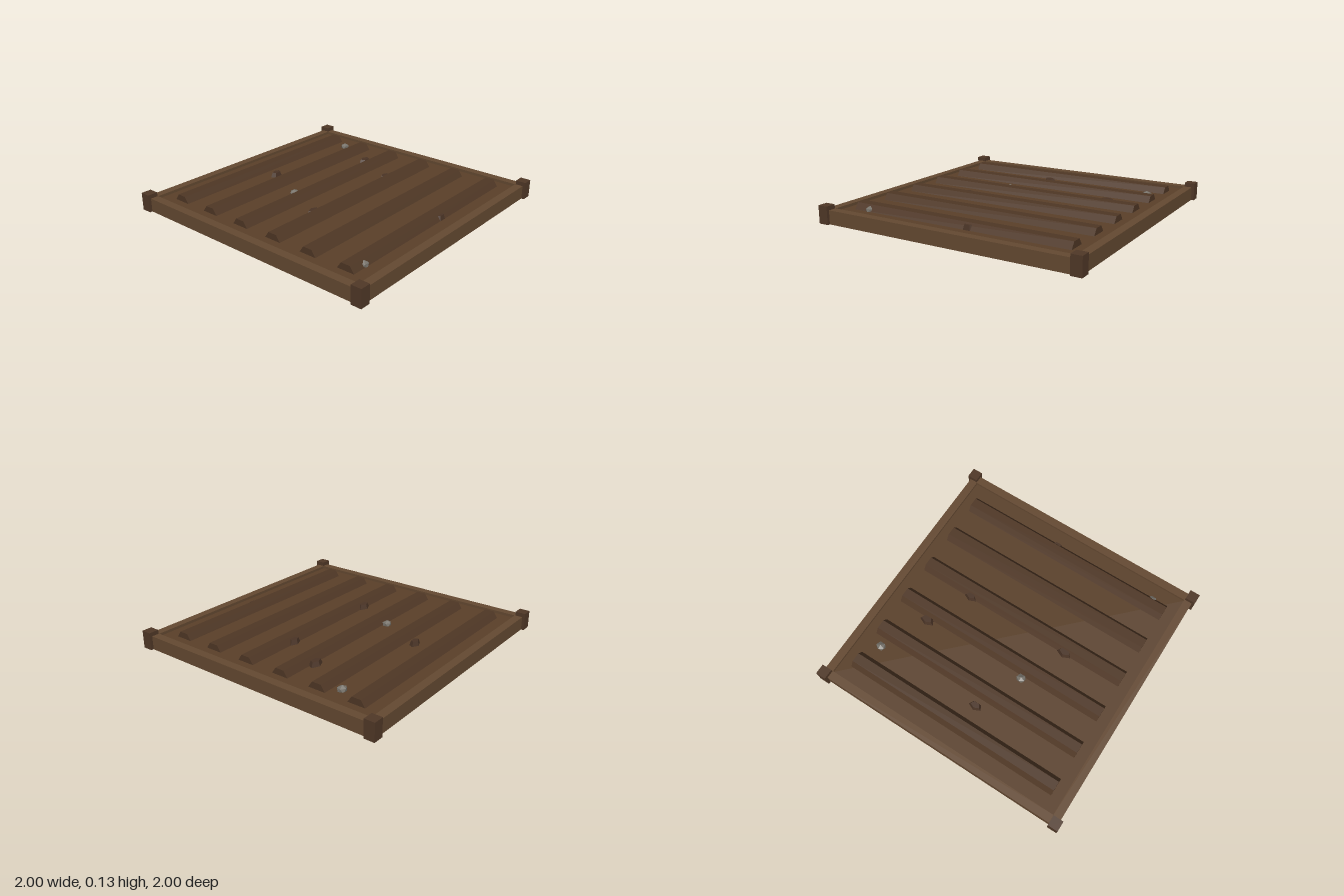
import * as THREE from 'three';

const paint = (color) => new THREE.MeshStandardMaterial({ color, flatShading: true });

export function createModel() {
  const model = new THREE.Group();
  model.name = 'gardenBed';
  const soilMat = paint(0x5a4029);
  const ridgeMat = paint(0x4f3725);
  const railMat = paint(0x644931);
  const postMat = paint(0x503827);
  const clodMat = paint(0x4a3426);
  const stoneMat = paint(0x77736b);

  const add = (name, geometry, material, x, y, z) => {
    const mesh = new THREE.Mesh(geometry, material);
    mesh.name = name;
    mesh.position.set(x, y, z);
    model.add(mesh);
    return mesh;
  };

  // Soil filling the frame
  add('soil', new THREE.BoxGeometry(1.85, 0.08, 1.85), soilMat, 0, 0.04, 0);

  // Frame rails and corner posts
  for (const s of [-1, 1]) {
    add('crossRail', new THREE.BoxGeometry(1.84, 0.1, 0.06), railMat, 0, 0.05, s * 0.95);
    add('sideRail', new THREE.BoxGeometry(0.06, 0.1, 1.96), railMat, s * 0.95, 0.05, 0);
    for (const t of [-1, 1]) {
      add('cornerPost', new THREE.BoxGeometry(0.076, 0.13, 0.076), postMat, s * 0.962, 0.065, t * 0.962);
    }
  }

  // Planting ridges: trapezoid section swept along x
  const section = new THREE.Shape([
    new THREE.Vector2(-0.065, 0),
    new THREE.Vector2(0.065, 0),
    new THREE.Vector2(0.034, 0.045),
    new THREE.Vector2(-0.034, 0.045),
  ]);
  const ridge = new THREE.ExtrudeGeometry(section, { depth: 1.68, bevelEnabled: false });
  ridge.translate(0, 0, -0.84).rotateY(Math.PI / 2);
  for (let i = 0; i < 6; i++) add('ridge', ridge, ridgeMat, 0, 0.08, -0.753 + i * 0.301);

  // Clods: squat five-sided lumps [x, z, width]
  const clod = new THREE.CylinderGeometry(0.36, 0.53, 1, 5).rotateY(Math.PI);
  for (const [x, z, w] of [[-0.07, -0.58, 0.1], [0.585, -0.235, 0.115], [-0.39, 0.093, 0.115], [0.42, 0.093, 0.1], [0.1, 0.795, 0.09]]) {
    add('clod', clod, clodMat, x, 0.095, z).scale.set(w, 0.038, w * 0.62);
  }

  // Stones: faceted, one corner up [x, z, radius]
  const stone = new THREE.IcosahedronGeometry(1, 0).rotateZ(-0.5536).rotateY(Math.PI / 2);
  for (const [x, z, r] of [[0.75, -0.58, 0.038], [-0.23, -0.237, 0.038], [-0.72, 0.795, 0.036]]) {
    add('stone', stone, stoneMat, x, 0.087, z).scale.set(r, 0.03, r * 0.9);
  }
  return model;
}
